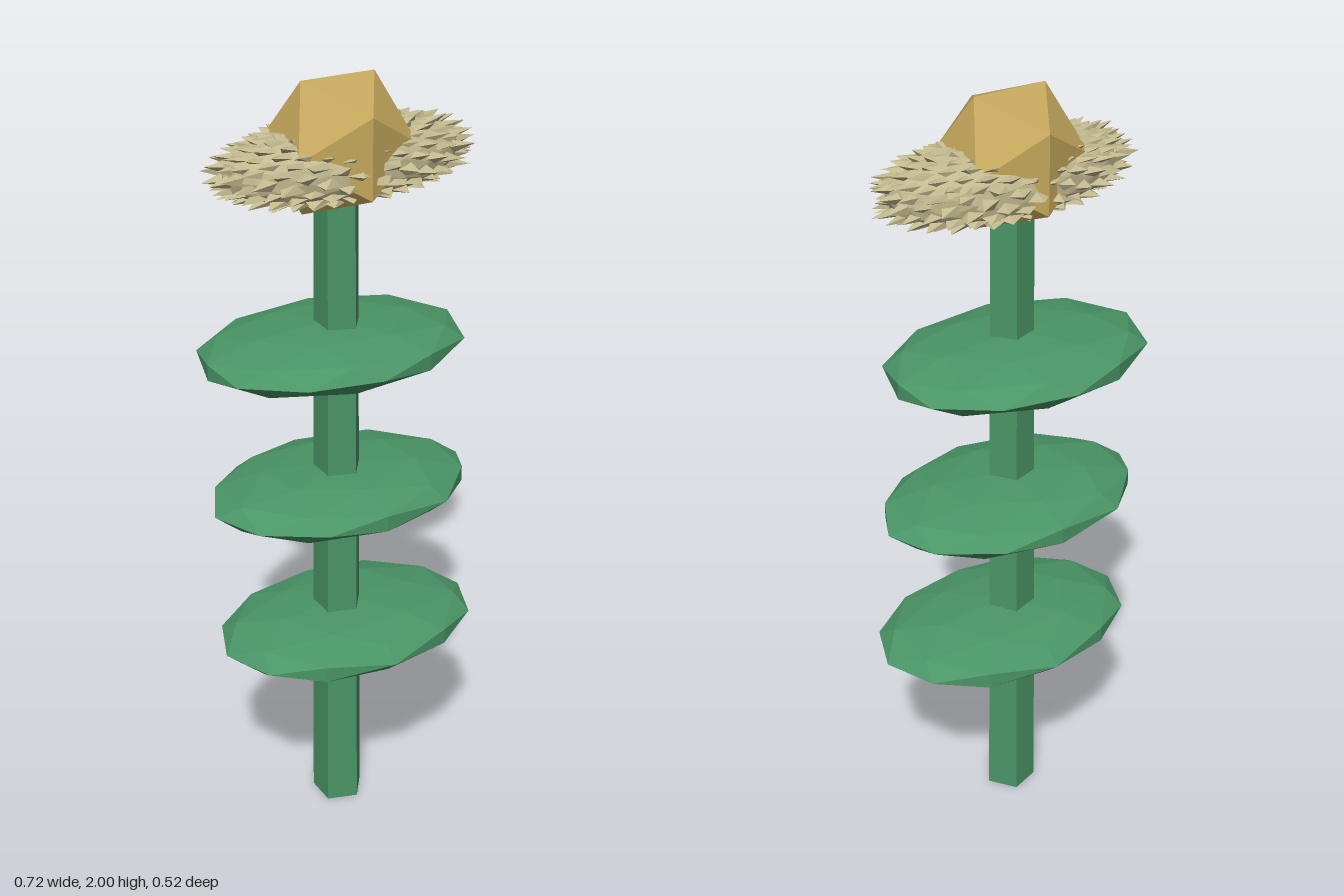
import * as THREE from 'three';
import { mergeGeometries } from 'three/addons/utils/BufferGeometryUtils.js';

const material = (color) => new THREE.MeshStandardMaterial({ color, flatShading: true });

function seeded(seed) {
  return () => (seed = (seed * 16807) % 2147483647) / 2147483647;
}

// Flattened ball covered in small pyramids, shaped as a unit ball and then squashed
function spikyGeometry(sx, sy, sz) {
  const random = seeded(11);
  const parts = [new THREE.IcosahedronGeometry(0.87, 3)];
  const up = new THREE.Vector3(0, 1, 0);
  const count = 260;
  for (let i = 0; i < count; i++) {
    const x = 1 - (2 * (i + 0.5)) / count;
    const r = Math.sqrt(1 - x * x);
    const a = i * 2.39996;
    const dir = new THREE.Vector3(x, r * Math.sin(a), r * Math.cos(a));
    const height = 0.16 + 0.08 * random();
    const cone = new THREE.ConeGeometry(0.125, height, 4, 1, true).toNonIndexed();
    cone.rotateY(random() * Math.PI);
    cone.translate(0, 0.8 + height / 2, 0);
    cone.applyQuaternion(new THREE.Quaternion().setFromUnitVectors(up, dir));
    parts.push(cone);
  }
  const geometry = mergeGeometries(parts);
  const pos = geometry.attributes.position;
  for (let i = 0; i < pos.count; i++) {
    const y = pos.getY(i);
    // fuller shoulders towards the top and bottom
    pos.setXYZ(i, pos.getX(i) * sx, Math.sign(y) * Math.abs(y) ** 0.75 * sy, pos.getZ(i) * sz);
  }
  geometry.computeVertexNormals();
  return geometry;
}

export function createModel() {
  const model = new THREE.Group();
  const green = material(0x4a9566);

  const add = (name, geometry, mat, x, y, z) => {
    const mesh = new THREE.Mesh(geometry, mat);
    mesh.name = name;
    mesh.position.set(x, y, z);
    model.add(mesh);
  };

  // Five-sided tapering stem with one edge facing +x
  const stem = new THREE.CylinderGeometry(0.056, 0.069, 1.75, 5);
  stem.rotateY(Math.PI / 2);
  add('stem', stem, green, -0.013, 0.875, 0.007);

  // Flattened leaf discs, each turned a step further
  const leaves = [
    ['lowerLeaf', 0.01, 0.544, 0.01, 0],
    ['middleLeaf', 0, 0.944, -0.006, 0.55],
    ['upperLeaf', -0.022, 1.336, -0.008, 1.02],
  ];
  for (const [name, x, y, z, turn] of leaves) {
    const leaf = new THREE.IcosahedronGeometry(1, 1);
    leaf.rotateY(turn);
    leaf.scale(0.354, 0.067, 0.252);
    leaf.computeVertexNormals();
    add(name, leaf, green, x, y, z);
  }

  // Spiky flower head and its faceted centre
  add('flowerHead', spikyGeometry(0.355, 0.096, 0.168), material(0xc2b98f), 0.002, 1.804, 0.004);
  add('flowerCentre', new THREE.IcosahedronGeometry(0.184, 0), material(0xc4a75c), -0.012, 1.8435, 0.007);

  return model;
}
